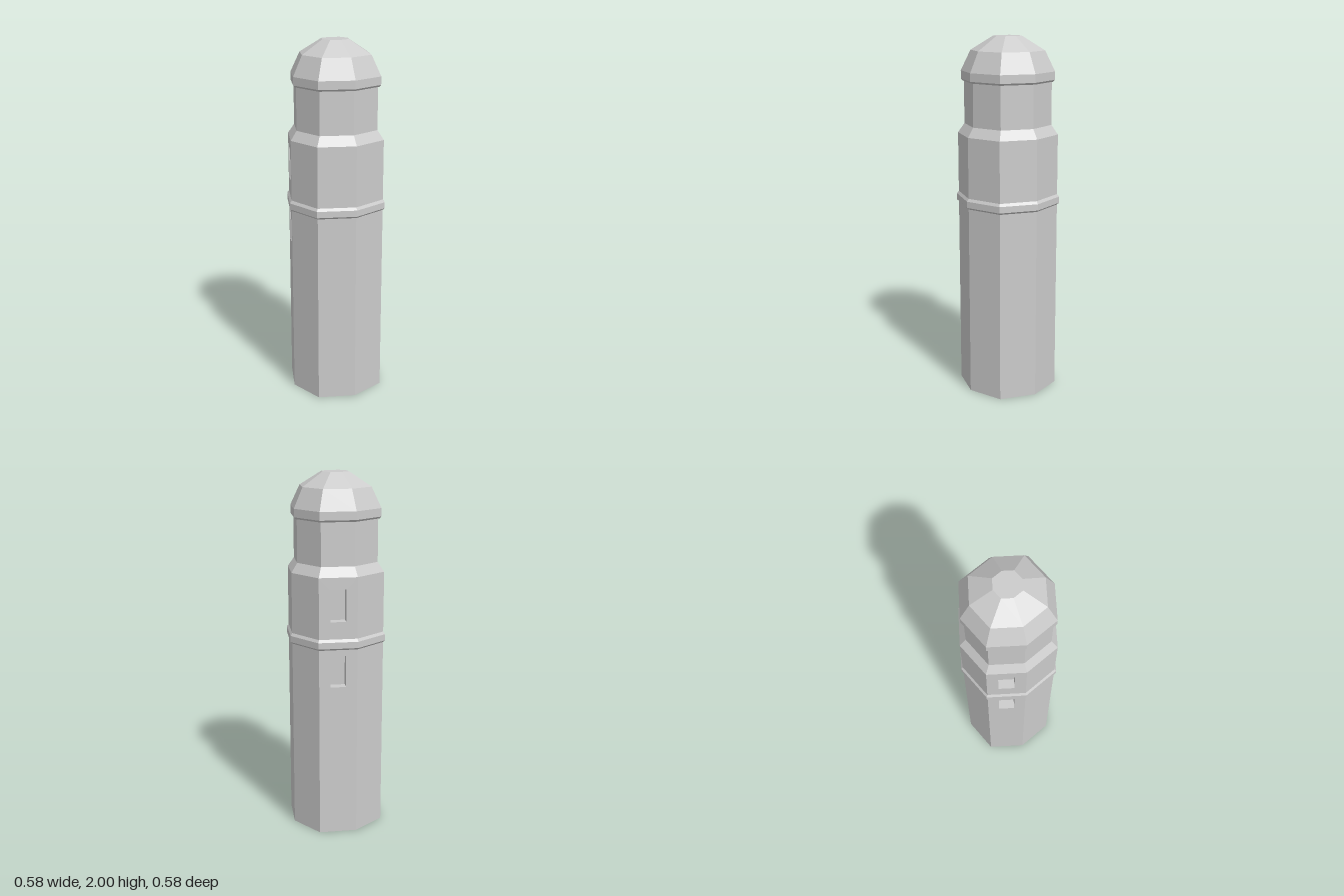
import * as THREE from 'three';

const SIDES = 8;
const DIAGONAL = 0.947; // the corners between the axes are pulled in slightly
const BODY = 0.279;
const RECESS = 0.05;
const WINDOW_WIDTH = 0.086;
const WINDOW_FACES = [4, 6];

const material = new THREE.MeshStandardMaterial({ color: 0xcccccc, flatShading: true });

function addMesh(parent, name, geometry) {
  const flat = geometry.index ? geometry.toNonIndexed() : geometry;
  flat.computeVertexNormals();
  const mesh = new THREE.Mesh(flat, material);
  mesh.name = name;
  parent.add(mesh);
  return mesh;
}

// Corner i of the octagon; corner 0 lies on +z, turning towards +x
function corner(i, radius) {
  const a = (i / SIDES) * Math.PI * 2;
  const r = i % 2 ? radius * DIAGONAL : radius;
  return new THREE.Vector3(Math.sin(a) * r, 0, Math.cos(a) * r);
}

// Eight-sided solid from a [radius, y] profile, listed from bottom to top
function octagonal(profile) {
  const g = new THREE.LatheGeometry(profile.map(([r, y]) => new THREE.Vector2(r, y)), SIDES);
  const p = g.attributes.position;
  for (let i = 0; i < p.count; i++) {
    if (Math.floor(i / profile.length) % 2) {
      p.setX(i, p.getX(i) * DIAGONAL);
      p.setZ(i, p.getZ(i) * DIAGONAL);
    }
  }
  return g;
}

// Open-fronted box turned inside out: the reveals and back of a window
function recessGeometry(height) {
  const g = new THREE.BoxGeometry(WINDOW_WIDTH, height, RECESS);
  const index = Array.from(g.index.array);
  index.splice(24, 6); // remove the front
  g.setIndex(index.reverse());
  g.clearGroups();
  return g;
}

// Eight wall panels, two of them with a window opening
function shaft(name, y0, y1, sill, head) {
  const group = new THREE.Group();
  group.name = name;
  for (let i = 0; i < SIDES; i++) {
    const a = corner(i, BODY);
    const b = corner(i + 1, BODY);
    const half = a.distanceTo(b) / 2;
    const dir = b.clone().sub(a);
    const wall = new THREE.Group();
    wall.name = 'wall';
    wall.position.copy(a).add(b).multiplyScalar(0.5);
    wall.rotation.y = Math.atan2(-dir.z, dir.x);

    const shape = new THREE.Shape([
      new THREE.Vector2(-half, y0), new THREE.Vector2(half, y0),
      new THREE.Vector2(half, y1), new THREE.Vector2(-half, y1),
    ]);
    if (WINDOW_FACES.includes(i)) {
      const w = WINDOW_WIDTH / 2;
      shape.holes.push(new THREE.Path([
        new THREE.Vector2(-w, sill), new THREE.Vector2(-w, head),
        new THREE.Vector2(w, head), new THREE.Vector2(w, sill),
      ]));
      const recess = addMesh(wall, 'windowRecess', recessGeometry(head - sill));
      recess.position.set(0, (sill + head) / 2, -RECESS / 2);
    }
    addMesh(wall, 'wallPanel', new THREE.ShapeGeometry(shape));
    group.add(wall);
  }
  return group;
}

export function createModel() {
  const tower = new THREE.Group();
  tower.name = 'tower';

  addMesh(tower, 'base', octagonal([[0, 0], [BODY, 0]]));
  tower.add(shaft('lowerShaft', 0, 1.075, 0.865, 1.04));

  // Projecting band around the middle
  addMesh(tower, 'bandMoulding', octagonal([
    [BODY, 1.075], [0.29, 1.085], [0.29, 1.12], [BODY, 1.135],
  ]));

  tower.add(shaft('upperShaft', 1.135, 1.47, 1.23, 1.406));

  // Sloping shoulder and narrower top storey
  addMesh(tower, 'shoulder', octagonal([[BODY, 1.47], [0.242, 1.522]]));
  addMesh(tower, 'lantern', octagonal([[0.242, 1.522], [0.242, 1.757]]));

  // Eaves and faceted dome with a flat top
  addMesh(tower, 'eaves', octagonal([[0.242, 1.757], [0.25, 1.757], [0.259, 1.767], [0.259, 1.812]]));
  addMesh(tower, 'dome', octagonal([[0.259, 1.812], [0.204, 1.923], [0.078, 2], [0, 2]]));

  return tower;
}
